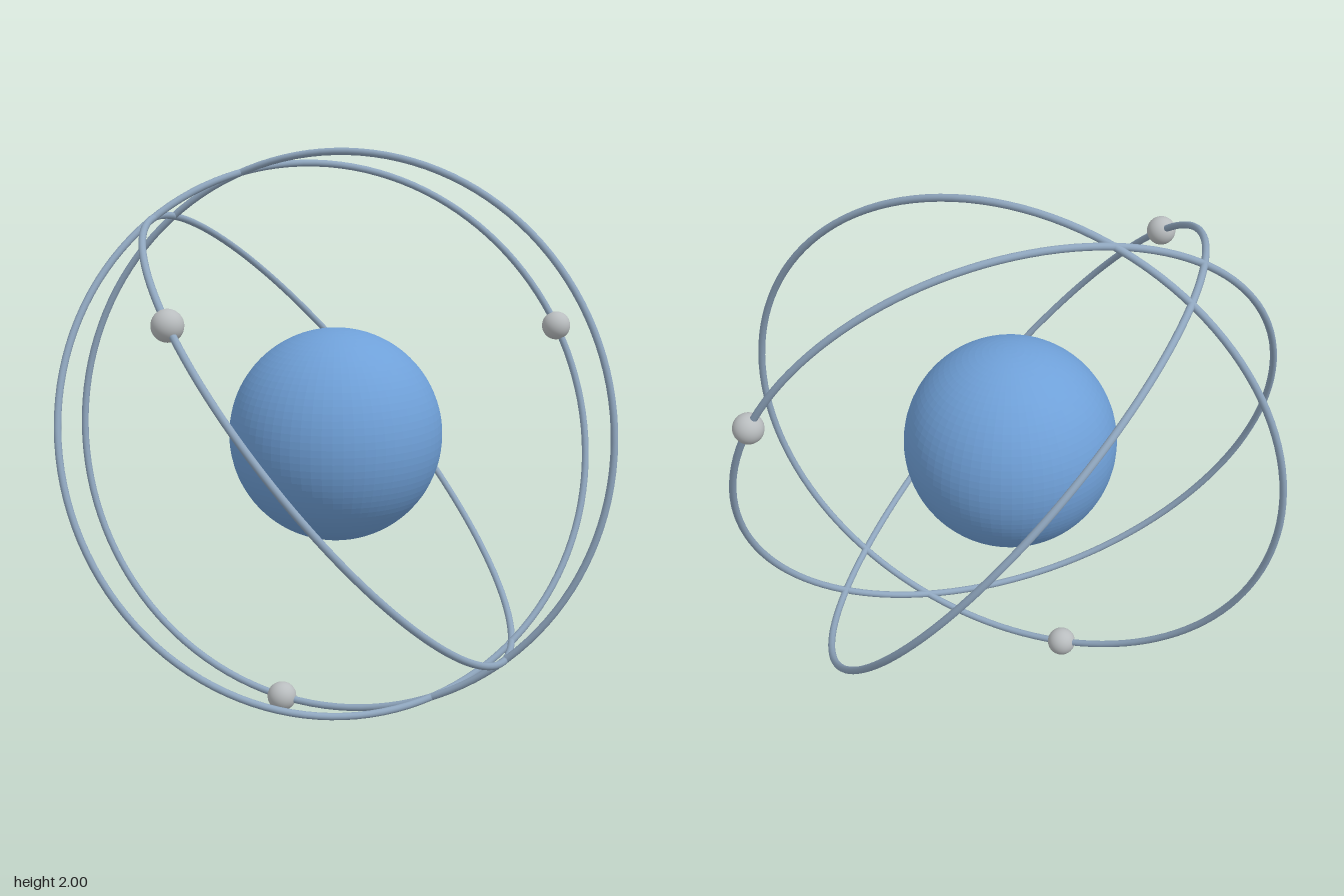
import * as THREE from 'three';

const CENTER_Y = 1.014;
const ORBIT_RADIUS = 0.979;
const TUBE_RADIUS = 0.0125;

// Each orbit: the normal of its plane and the direction of its small ball
const ORBITS = [
  { name: 'tiltedOrbit', normal: [0, 0.342, 0.94], ball: [0.92, 0.316, -0.115] },
  { name: 'uprightOrbit', normal: [0.637, -0.11, -0.761], ball: [-0.195, -0.96, -0.03] },
  { name: 'diagonalOrbit', normal: [0.669, 0.643, 0.374], ball: [-0.73, 0.486, 0.445] },
];

function makeMaterial(name, color) {
  const material = new THREE.MeshStandardMaterial({ color });
  material.name = name;
  return material;
}

// Faceted sphere with one normal per face
function facetedSphere(radius, columns, rows) {
  const geometry = new THREE.SphereGeometry(radius, columns, rows).toNonIndexed();
  geometry.computeVertexNormals();
  return geometry;
}

export function createModel() {
  const blue = makeMaterial('blue', 0x6fa0d8);
  const steel = makeMaterial('steelBlue', 0x8fa6be);
  const grey = makeMaterial('lightGrey', 0xb9bdbf);

  const model = new THREE.Group();
  model.name = 'atom';

  const add = (name, geometry, material) => {
    const mesh = new THREE.Mesh(geometry, material);
    mesh.name = name;
    mesh.position.y = CENTER_Y;
    model.add(mesh);
    return mesh;
  };

  // Central ball
  add('nucleus', facetedSphere(0.373, 64, 48), blue);

  // Orbit rings, each carrying one small ball
  const ringGeometry = new THREE.TorusGeometry(ORBIT_RADIUS, TUBE_RADIUS, 12, 128);
  const ballGeometry = new THREE.SphereGeometry(0.052, 32, 20);
  const forward = new THREE.Vector3(0, 0, 1);
  for (const { name, normal, ball } of ORBITS) {
    const axis = new THREE.Vector3(...normal).normalize();
    add(name, ringGeometry, steel).quaternion.setFromUnitVectors(forward, axis);

    const spot = new THREE.Vector3(...ball).projectOnPlane(axis).setLength(ORBIT_RADIUS);
    add(name + 'Electron', ballGeometry, grey).position.add(spot);
  }

  return model;
}
